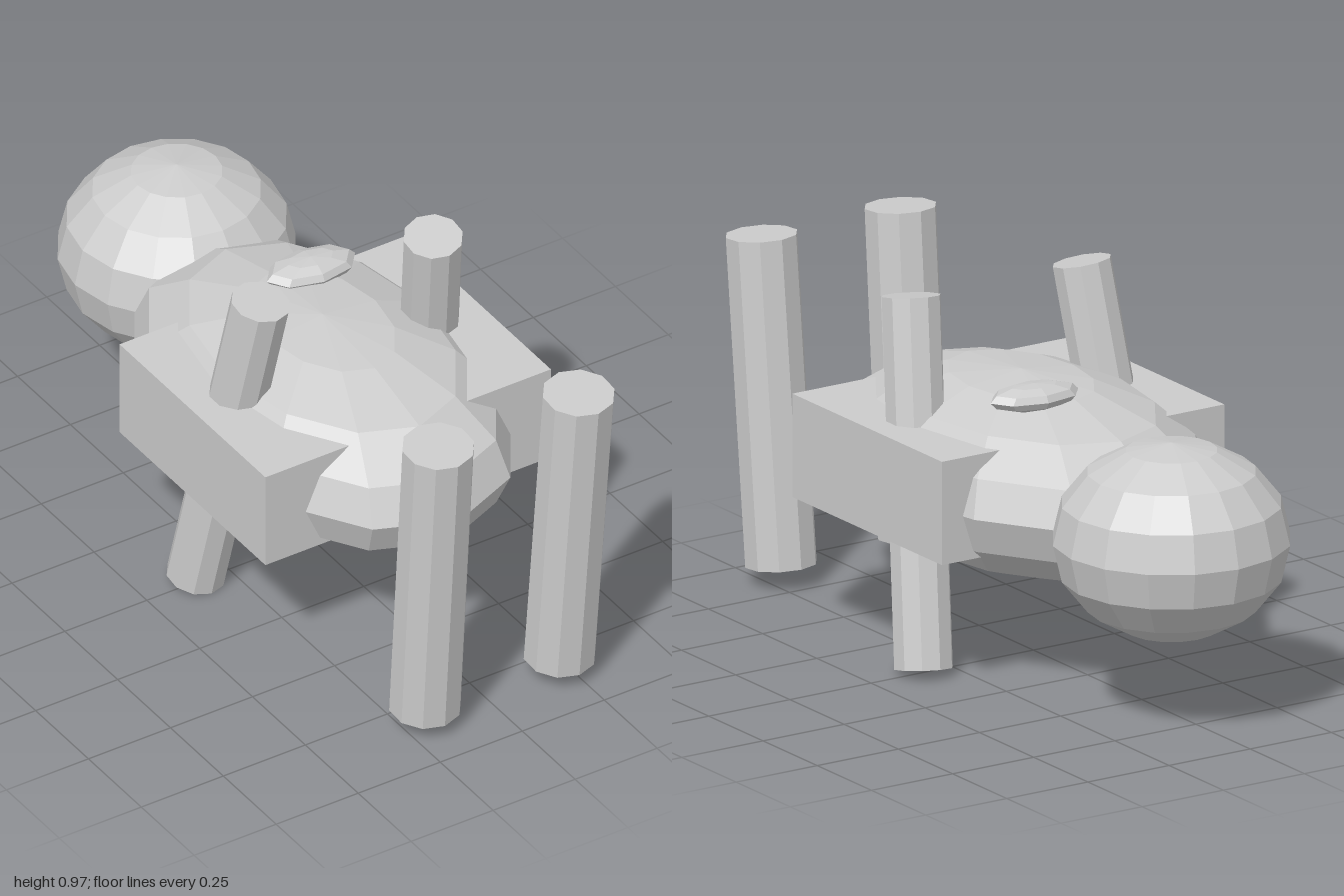
import * as THREE from 'three';

const material = new THREE.MeshStandardMaterial({ color: 0xcccccc, flatShading: true });

function addPart(parent, name, geometry, position) {
  const mesh = new THREE.Mesh(geometry, material);
  mesh.name = name;
  mesh.position.set(...position);
  parent.add(mesh);
  return mesh;
}

// Faceted ellipsoid with its poles up and down
function addEllipsoid(parent, name, position, radii, sides, rings) {
  const geometry = new THREE.SphereGeometry(1, sides, rings).scale(...radii);
  return addPart(parent, name, geometry, position);
}

// Straight ten-sided post between two end points
function addPost(parent, name, bottom, top, radius) {
  const a = new THREE.Vector3(...bottom);
  const b = new THREE.Vector3(...top);
  const axis = b.clone().sub(a);
  const geometry = new THREE.CylinderGeometry(radius, radius, axis.length(), 10);
  const post = addPart(parent, name, geometry, a.add(b).multiplyScalar(0.5).toArray());
  post.quaternion.setFromUnitVectors(new THREE.Vector3(0, 1, 0), axis.normalize());
}

export function createModel() {
  const model = new THREE.Group();
  model.name = 'model';

  // Rounded masses
  addEllipsoid(model, 'body', [0, 0.488, 0.055], [0.42, 0.257, 0.65], 12, 8);
  addEllipsoid(model, 'rearBall', [0.035, 0.49, -0.69], [0.31, 0.26, 0.31], 16, 8);
  const bump = addEllipsoid(model, 'topBump', [0.09, 0.738, -0.14], [0.13, 0.035, 0.072], 8, 6);
  bump.rotation.y = -0.06;

  // Block crossing the middle of the body
  addPart(model, 'sideBlock', new THREE.BoxGeometry(0.87, 0.278, 0.69), [0, 0.507, 0.115]);

  // Slanted posts through the block, mirrored
  for (const [side, s] of [['left', 1], ['right', -1]]) {
    addPost(model, side + 'SidePost', [s * 0.345, 0.017, -0.01], [s * 0.263, 0.957, 0.17], 0.078);
  }

  // Free-standing posts ahead of the body
  for (const [side, x, lean] of [['left', 0.223, 0.01], ['right', -0.187, -0.008]]) {
    addPost(model, side + 'FrontPost', [x, 0.053, 0.83], [x + lean, 0.922, 0.905], 0.095);
  }

  return model;
}
